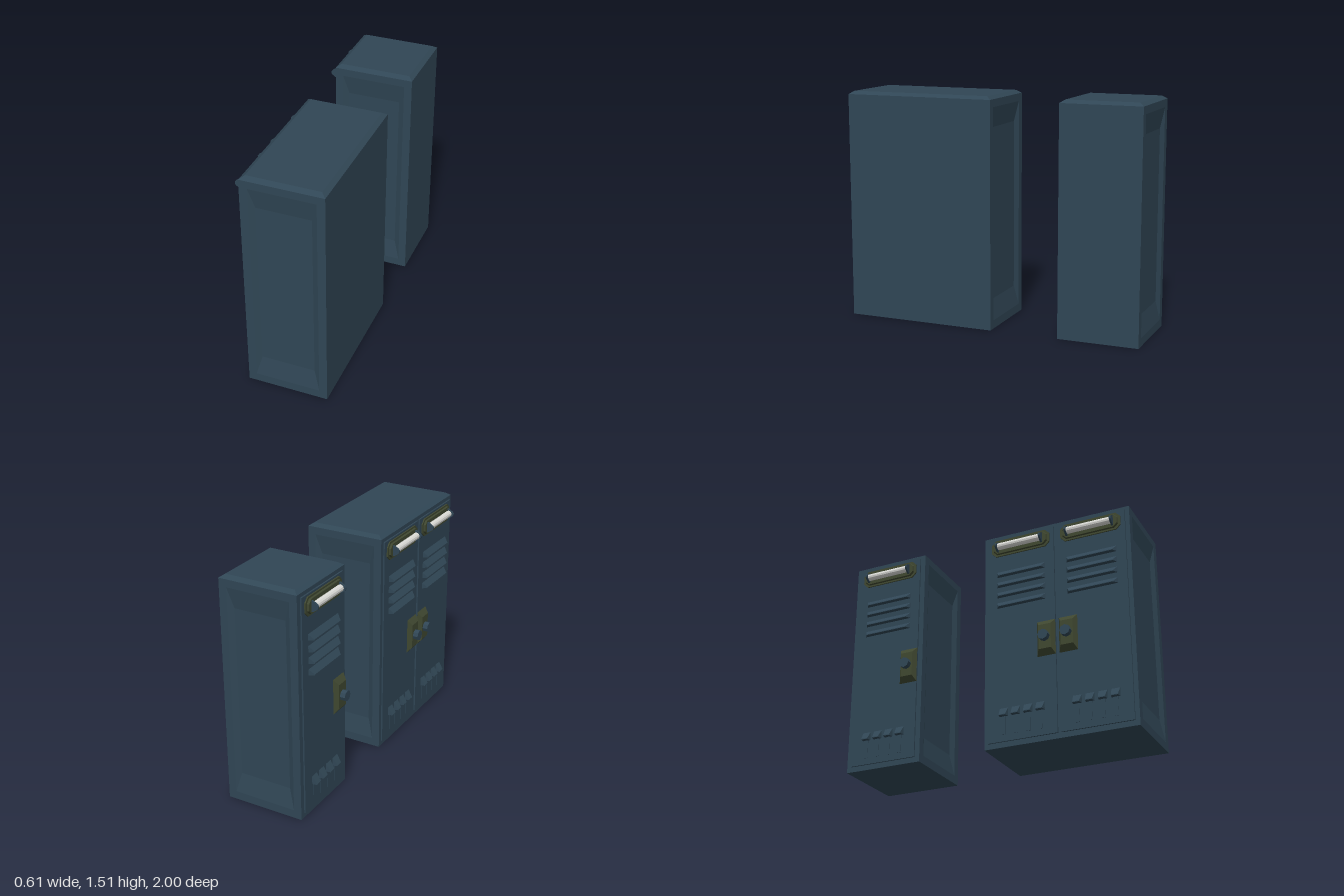
import * as THREE from 'three';

const mat = (name, color) => new THREE.MeshStandardMaterial({ name, color, flatShading: true });

// Joins equal-length cross-sections [z, [[x, y], ...]] (counter-clockwise, rising z order) and caps both ends.
function loft(sections) {
  const pos = [];
  const pt = (s, i) => {
    const p = s[1][i % s[1].length];
    return new THREE.Vector3(p[0], p[1], s[0]);
  };
  const tri = (a, b, c) => {
    const area = b.clone().sub(a).cross(c.clone().sub(a)).length();
    if (area > 1e-9) for (const v of [a, b, c]) pos.push(v.x, v.y, v.z);
  };
  const n = sections[0][1].length;
  for (let k = 0; k < sections.length - 1; k++) {
    const a = sections[k], b = sections[k + 1];
    for (let i = 0; i < n; i++) {
      tri(pt(a, i), pt(a, i + 1), pt(b, i + 1));
      tri(pt(a, i), pt(b, i + 1), pt(b, i));
    }
  }
  const first = sections[0], last = sections[sections.length - 1];
  for (let i = 1; i < n - 1; i++) {
    tri(pt(first, 0), pt(first, i + 1), pt(first, i));
    tri(pt(last, 0), pt(last, i), pt(last, i + 1));
  }
  const g = new THREE.BufferGeometry();
  g.setAttribute('position', new THREE.Float32BufferAttribute(pos, 3));
  g.computeVertexNormals();
  return g;
}

const rect = (x0, x1, y0, y1) => [[x0, y0], [x1, y0], [x1, y1], [x0, y1]];
const octagon = (w, h, c) => [[-w + c, -h], [w - c, -h], [w, -h + c], [w, h - c],
  [w - c, h], [-w + c, h], [-w, h - c], [-w, -h + c]];

function add(parent, name, geometry, material, x = 0, y = 0, z = 0) {
  const m = new THREE.Mesh(geometry, material);
  m.name = name;
  m.position.set(x, y, z);
  parent.add(m);
  return m;
}

// Cabinet shell: chamfered top and a sunken panel on each end
function shellGeometry(half) {
  const end = (x0, x1, y0, y1) => [[x0, y0], [x1, y0], [x1, y1], [x1, y1], [x0, y1], [x0, y1]];
  const full = [[-0.23, 0], [0.3, 0], [0.3, 1.49], [0.27, 1.51], [-0.2, 1.51], [-0.23, 1.49]];
  const side = [
    [half - 0.03, full],
    [half, end(-0.23, 0.3, 0, 1.49)],
    [half, end(-0.178, 0.248, 0.055, 1.44)],
    [half - 0.02, end(-0.14, 0.21, 0.19, 1.31)],
  ];
  return loft([...side.map(([z, p]) => [-z, p]).reverse(), ...side]);
}

// Sheet-metal hood: sloped from the top, flat underneath
const hood = (wBase, wTip, h, depth) => loft([
  [0, rect(-wBase, wBase, 0, h)],
  [depth, rect(-wTip, wTip, 0, 0.005)],
]);

// Door built facing +z; handleSide puts the handle towards +x or -x
function makeDoor(paint, olive, white, handleSide) {
  const door = new THREE.Group();
  door.name = 'door';
  add(door, 'doorPanel', new THREE.BoxGeometry(0.465, 1.43, 0.01), paint, 0, 0.75, 0.005);

  // Lamp with stepped back plate, tube and end brackets
  const lamp = new THREE.Group();
  lamp.name = 'lamp';
  lamp.position.set(0, 1.392, 0.01);
  door.add(lamp);
  add(lamp, 'lampPlate', loft([
    [0, octagon(0.205, 0.06, 0.03)], [0.008, octagon(0.205, 0.06, 0.03)],
    [0.008, octagon(0.19, 0.048, 0.025)], [0.02, octagon(0.185, 0.045, 0.025)],
  ]), olive);
  const tube = add(lamp, 'lampTube', new THREE.CylinderGeometry(0.023, 0.023, 0.3, 12), white, 0, 0, 0.03);
  tube.rotation.z = Math.PI / 2;
  for (const s of [-1, 1]) {
    add(lamp, 'lampBracket', loft([
      [0.018, rect(-0.006, 0.006, -0.035, 0.035)],
      [0.03, rect(-0.006, 0.006, -0.034, 0.034)],
      [0.058, rect(-0.006, 0.006, -0.015, 0.015)],
      [0.064, rect(-0.006, 0.006, -0.006, 0.006)],
    ]), paint, s * 0.155);
  }

  // Upper louvres
  for (let i = 0; i < 4; i++) {
    add(door, 'louvre', hood(0.17, 0.15, 0.04, 0.03), paint, 0, 0.952 + i * 0.075, 0.01);
  }

  // Lower drain slots with small hoods
  for (let i = 0; i < 4; i++) {
    const x = (i - 1.5) * 0.082;
    add(door, 'slotHood', hood(0.028, 0.022, 0.055, 0.032), paint, x, 0.198, 0.01);
    add(door, 'slot', new THREE.BoxGeometry(0.026, 0.12, 0.004), paint, x, 0.138, 0.011);
  }

  // Handle plate and knob
  const hx = handleSide * 0.17;
  add(door, 'handlePlate', loft([
    [0.01, rect(-0.062, 0.062, 0.555, 0.795)],
    [0.04, rect(-0.042, 0.042, 0.592, 0.758)],
  ]), olive, hx);
  const knob = add(door, 'knob', new THREE.CylinderGeometry(0.035, 0.035, 0.035, 8), paint, hx, 0.675, 0.0575);
  knob.rotation.x = Math.PI / 2;
  return door;
}

function makeCabinet(name, z, half, doors, mats) {
  const cabinet = new THREE.Group();
  cabinet.name = name;
  cabinet.position.z = z;
  add(cabinet, 'shell', shellGeometry(half), mats[0]);
  for (const [offset, side] of doors) {
    const door = makeDoor(...mats, side);
    door.rotation.y = -Math.PI / 2;
    door.position.set(-0.23, 0, offset);
    cabinet.add(door);
  }
  return cabinet;
}

export function createModel() {
  const mats = [mat('slateBluePaint', 0x304655), mat('olivePaint', 0x3f4730), mat('lampWhite', 0xdcdcd8)];
  const model = new THREE.Group();
  model.name = 'lockerCabinets';
  model.add(makeCabinet('singleCabinet', -0.734, 0.266, [[0, 1]], mats));
  model.add(makeCabinet('doubleCabinet', 0.495, 0.505, [[-0.244, 1], [0.244, -1]], mats));
  return model;
}
